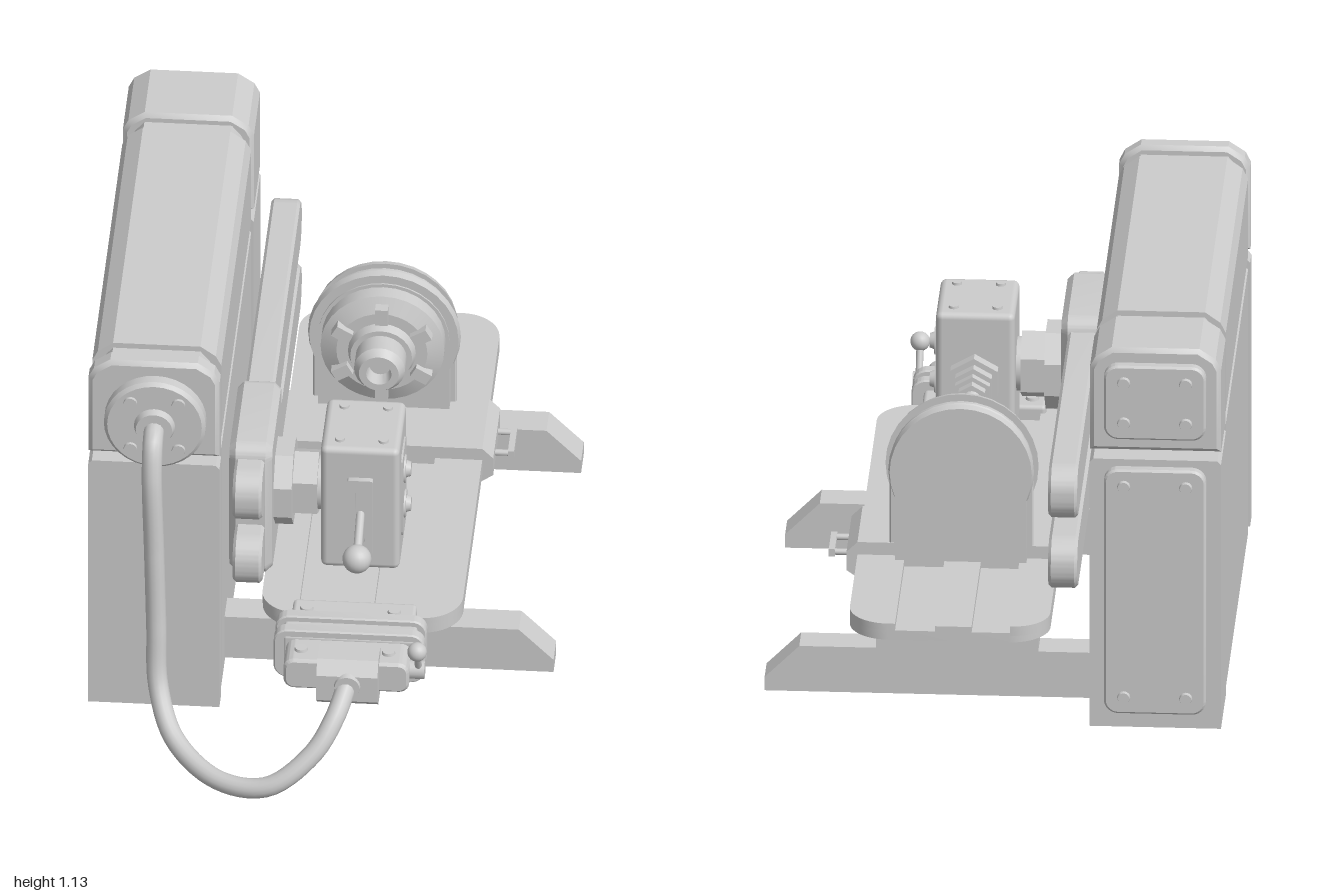
import * as THREE from 'three';
import { toCreasedNormals } from 'three/addons/utils/BufferGeometryUtils.js';
import { RoundedBoxGeometry } from 'three/addons/geometries/RoundedBoxGeometry.js';

const mat = new THREE.MeshStandardMaterial({ color: 0xcccccc });

export function createModel() {
  const model = new THREE.Group();
  let part = model;
  const begin = (name) => {
    part = new THREE.Group();
    part.name = name;
    model.add(part);
  };
  const add = (name, geo) => {
    const m = new THREE.Mesh(geo, mat);
    m.name = name;
    part.add(m);
    return m;
  };

  // Box from min/max limits, optionally rounded
  const box = (name, x0, x1, y0, y1, z0, z1, r = 0) => {
    const s = [x1 - x0, y1 - y0, z1 - z0];
    const g = r ? new RoundedBoxGeometry(...s, 2, r) : new THREE.BoxGeometry(...s);
    return add(name, g.translate((x0 + x1) / 2, (y0 + y1) / 2, (z0 + z1) / 2));
  };
  // Cylinder between a and b along an axis; c holds the other coordinates
  const cyl = (name, axis, a, b, ra, rb, c, seg = 24, spin = 0) => {
    let g = new THREE.CylinderGeometry(rb, ra, b - a, seg).rotateY(spin);
    if (seg < 12) g = toCreasedNormals(g, 0.3);
    if (axis === 'x') g.rotateZ(-Math.PI / 2);
    if (axis === 'z') g.rotateX(Math.PI / 2);
    const p = new THREE.Vector3(...c);
    p[axis] = (a + b) / 2;
    return add(name, g.translate(p.x, p.y, p.z));
  };
  const rod = (name, from, to, r) => {
    const path = new THREE.LineCurve3(new THREE.Vector3(...from), new THREE.Vector3(...to));
    return add(name, new THREE.TubeGeometry(path, 1, r, 10));
  };
  const ball = (name, r, x, y, z) => add(name, new THREE.SphereGeometry(r, 20, 14).translate(x, y, z));

  // Rounded rectangle with its own radius per corner: bl, br, tr, tl
  const roundRect = (x0, x1, y0, y1, bl, br = bl, tr = bl, tl = bl) => {
    const s = new THREE.Shape();
    s.moveTo(x0 + bl, y0).lineTo(x1 - br, y0);
    if (br) s.absarc(x1 - br, y0 + br, br, -Math.PI / 2, 0);
    s.lineTo(x1, y1 - tr);
    if (tr) s.absarc(x1 - tr, y1 - tr, tr, 0, Math.PI / 2);
    s.lineTo(x0 + tl, y1);
    if (tl) s.absarc(x0 + tl, y1 - tl, tl, Math.PI / 2, Math.PI);
    s.lineTo(x0, y0 + bl);
    if (bl) s.absarc(x0 + bl, y0 + bl, bl, Math.PI, Math.PI * 1.5);
    return s;
  };
  const poly = (pts) => new THREE.Shape(pts.map(([x, y]) => new THREE.Vector2(x, y)));
  // Extrude a shape along z, y or x. Shape coordinates are (x,y), (x,z) or (z,y).
  const slab = (name, shape, axis, a, b, bevel = 0) => {
    let g = new THREE.ExtrudeGeometry(shape, {
      depth: b - a - 2 * bevel, curveSegments: 8, bevelEnabled: bevel > 0,
      bevelSize: bevel, bevelThickness: bevel, bevelOffset: -bevel, bevelSegments: 1,
    });
    g = toCreasedNormals(g, 0.45);
    if (axis === 'z') g.translate(0, 0, a + bevel);
    if (axis === 'y') g.rotateX(Math.PI / 2).translate(0, b - bevel, 0);
    if (axis === 'x') g.rotateY(-Math.PI / 2).translate(b - bevel, 0, 0);
    return add(name, g);
  };

  // Tall cabinet: lower column and chamfered upper housing, split into sections
  const housing = (i, top) => poly([
    [-0.63 + i, 0.825 + i], [-0.27 - i, 0.825 + i], [-0.27 - i, top - 0.06],
    [-0.285 - i, top - 0.03], [-0.33, top], [-0.57, top], [-0.615 + i, top - 0.03], [-0.63 + i, top - 0.06]]);
  const column = (i) => poly([
    [-0.62 + i, -0.715], [-0.28 - i, -0.715], [-0.27 - i, -0.705], [-0.27 - i, -0.0],
    [-0.63 + i, -0.0], [-0.63 + i, -0.705]].map(([x, y]) => [x, -y * 0.8 / 0.715]));
  const sections = [[0.44, 0.5, 0, 0.012], [-0.65, 0.395, 0.003, 0], [-0.93, -0.7, 0, 0.012]];
  begin('cabinet');
  for (const [a, b, i, bevel] of sections) {
    slab('upperHousing', housing(i, 1.13 - i * 3), 'z', a, b, bevel);
    slab('lowerColumn', column(i).reverse ? column(i) : column(i), 'z', a, b);
  }
  slab('upperCore', housing(0.02, 1.105), 'z', -0.9, 0.47);
  box('lowerCore', -0.61, -0.29, 0, 0.78, -0.9, 0.47);

  // Bolted covers on the back of the cabinet
  for (const [y0, y1] of [[0.87, 1.09], [0.05, 0.78]]) {
    slab('backCover', roundRect(-0.59, -0.31, y0, y1, 0.04), 'z', -0.958, -0.925, 0.006);
    for (const x of [-0.535, -0.365]) for (const y of [y0 + 0.05, y1 - 0.05])
      cyl('coverBolt', 'z', -0.968, -0.95, 0.016, 0.02, [x, y, 0], 12);
  }

  // Cable flange and hanging cable
  begin('cable');
  const fx = -0.445, fy = 0.95;
  cyl('flange', 'z', 0.49, 0.53, 0.14, 0.14, [fx, fy, 0], 32);
  cyl('flangeRim', 'z', 0.53, 0.54, 0.14, 0.13, [fx, fy, 0], 32);
  cyl('flangeHub', 'z', 0.53, 0.56, 0.06, 0.05, [fx, fy, 0]);
  for (const sx of [-1, 1]) for (const sy of [-1, 1])
    cyl('flangeBolt', 'z', 0.53, 0.548, 0.02, 0.018, [fx + sx * 0.066, fy + sy * 0.075, 0], 12);
  const path = new THREE.CatmullRomCurve3([
    [fx, 0.95, 0.53], [fx, 0.935, 0.595], [fx, 0.85, 0.632], [-0.437, 0.6, 0.65], [-0.43, 0.37, 0.665],
    [-0.422, 0.2, 0.7], [-0.37, 0.095, 0.8], [-0.24, 0.05, 0.925], [-0.1, 0.068, 0.972],
    [0.02, 0.155, 0.93], [0.075, 0.235, 0.87], [0.105, 0.3, 0.79]].map((p) => new THREE.Vector3(...p)));
  add('cableTube', new THREE.TubeGeometry(path, 70, 0.028, 14));

  // Twin guide rails beside the cabinet
  begin('rails');
  for (const [y0, y1] of [[0.595, 0.75], [0.385, 0.535]])
    slab('rail', roundRect(-0.925, 0.5, y0, y1, 0.07), 'x', -0.235, -0.155, 0.008);

  // Feet: a pillar under the bed with a long toe
  begin('feet');
  const foot = poly([[-0.28, 0.015], [0.63, 0.015], [0.63, 0.055], [0.535, 0.15],
    [0.325, 0.15], [0.325, 0.28], [-0.12, 0.28], [-0.12, 0.15], [-0.28, 0.15]]);
  for (const z of [0.235, -0.73]) slab('foot', foot, 'z', z - 0.046, z + 0.046);

  // Bed with raised strips between two wide slots
  begin('bed');
  slab('bedPlate', roundRect(-0.16, 0.39, -0.99, 0.49, 0.11), 'y', 0.27, 0.298);
  slab('outerStrip', roundRect(-0.16, -0.055, -0.99, 0.49, 0.1, 0, 0, 0.1), 'y', 0.29, 0.318);
  slab('outerStrip', roundRect(0.26, 0.39, -0.99, 0.49, 0, 0.11, 0.11, 0), 'y', 0.29, 0.318);
  box('middleStrip', 0.05, 0.15, 0.29, 0.318, -1, 0.49);

  // Saddle, face plate and chuck of the headstock
  begin('headstock');
  const cx = 0.105, cy = 0.58;
  slab('saddle', poly([[-0.16, 0.235], [0.37, 0.235], [0.42, 0.27], [0.42, 0.325], [0.39, 0.355],
    [-0.18, 0.355], [-0.21, 0.325], [-0.21, 0.27]]), 'z', -0.528, -0.285);
  rod('latchArm', [0.41, 0.295, -0.36], [0.465, 0.295, -0.36], 0.009);
  rod('latchArm', [0.41, 0.295, -0.46], [0.465, 0.295, -0.46], 0.009);
  box('latchBar', 0.455, 0.472, 0.284, 0.306, -0.47, -0.35);
  const arch = (r) => {
    const s = new THREE.Shape();
    s.moveTo(cx - r, 0.3).lineTo(cx + r, 0.3).lineTo(cx + r, cy);
    s.absarc(cx, cy, r, 0, Math.PI);
    return s;
  };
  slab('archPlate', arch(0.18), 'z', -0.56, -0.47);
  slab('archRim', arch(0.197), 'z', -0.527, -0.507, 0.004);
  cyl('plateDisc', 'z', -0.56, -0.54, 0.195, 0.2, [cx, cy, 0], 32);
  cyl('plateDisc', 'z', -0.495, -0.475, 0.21, 0.205, [cx, cy, 0], 32);
  cyl('chuckBody', 'z', -0.48, -0.425, 0.17, 0.17, [cx, cy, 0], 32);
  cyl('chuckFace', 'z', -0.425, -0.405, 0.17, 0.125, [cx, cy, 0], 32);
  cyl('chuckStep', 'z', -0.41, -0.38, 0.095, 0.085, [cx, cy, 0]);
  for (let i = 0; i < 6; i++) {
    const a = (i + 0.5) * Math.PI / 3;
    const jaw = add('chuckJaw', new THREE.BoxGeometry(0.05, 0.035, 0.04));
    jaw.position.set(cx + 0.125 * Math.cos(a), cy + 0.125 * Math.sin(a), -0.405);
    jaw.rotation.z = a;
  }
  const nose = [[0, -0.39], [0.07, -0.39], [0.07, -0.32], [0.055, -0.297], [0.035, -0.297], [0.03, -0.34], [0, -0.34]];
  add('chuckNose', toCreasedNormals(new THREE.LatheGeometry(
    nose.map(([r, z]) => new THREE.Vector2(r, z)), 24).rotateX(Math.PI / 2).translate(cx, cy, 0), 0.4));

  // Carriage riding the rails, with stepped nuts to the tool head
  begin('carriage');
  slab('carriagePlate', roundRect(0.03, 0.39, 0.36, 0.785, 0.045), 'x', -0.253, -0.135, 0.018);
  cyl('armNut', 'x', -0.14, -0.085, 0.122, 0.122, [0, 0.57, 0.22], 8, Math.PI / 8);
  cyl('armNut', 'x', -0.085, -0.018, 0.098, 0.098, [0, 0.57, 0.22], 6, Math.PI / 6);
  cyl('armNeck', 'x', -0.03, 0.01, 0.075, 0.075, [0, 0.57, 0.22]);

  // Tool head with lever, buttons and pointed spindle
  begin('toolHead');
  box('headBox', -0.005, 0.212, 0.372, 0.768, 0.095, 0.345, 0.018);
  for (const x of [0.045, 0.165]) for (const z of [0.14, 0.3])
    cyl('topBolt', 'y', 0.76, 0.775, 0.015, 0.013, [x, 0, z], 12);
  const slotFrame = roundRect(0.07, 0.14, 0.43, 0.675, 0.006);
  slotFrame.holes.push(roundRect(0.092, 0.118, 0.47, 0.645, 0.01));
  slab('leverPlate', slotFrame, 'z', 0.34, 0.362);
  rod('lever', [cx, 0.56, 0.33], [cx, 0.495, 0.46], 0.012);
  ball('leverKnob', 0.04, cx, 0.49, 0.468);
  slab('buttonPanel', roundRect(0.165, 0.285, 0.44, 0.705, 0.02), 'x', 0.205, 0.217);
  for (const y of [0.63, 0.515]) {
    cyl('buttonRing', 'x', 0.21, 0.222, 0.042, 0.038, [0, y, 0.225]);
    cyl('button', 'x', 0.215, 0.235, 0.027, 0.02, [0, y, 0.225], 16);
  }
  const sc = [cx, 0.575, 0];
  cyl('spindleNut', 'z', 0.06, 0.1, 0.075, 0.075, sc, 6);
  cyl('spindleNut', 'z', 0.03, 0.062, 0.058, 0.058, sc, 6);
  cyl('spindleNeck', 'z', -0.005, 0.035, 0.032, 0.032, sc);
  cyl('spindleCollar', 'z', -0.018, 0.005, 0.055, 0.055, sc, 6);
  cyl('spindleCollar', 'z', -0.045, -0.018, 0.042, 0.042, sc, 6);
  cyl('spindleShank', 'z', -0.065, -0.04, 0.015, 0.028, sc, 16);
  cyl('spindleTip', 'z', -0.145, -0.06, 0.022, 0.001, sc, 16).geometry
    .translate(0, 0, 0.1025).rotateY(Math.PI).translate(2 * cx, 0, -0.1025);

  // Cable coupling on the end of the bed
  begin('coupling');
  box('couplingBlock', -0.07, 0.27, 0.24, 0.34, 0.45, 0.55, 0.012);
  for (const z of [0.562, 0.63])
    slab('couplingFlange', roundRect(-0.11, 0.305, 0.21, 0.367, 0.04), 'z', z - 0.018, z + 0.018, 0.004);
  box('couplingCore', -0.085, 0.28, 0.23, 0.35, 0.55, 0.65, 0.01);
  slab('couplingFront', roundRect(-0.075, 0.27, 0.245, 0.34, 0.03), 'z', 0.64, 0.752, 0.008);
  for (const x of [-0.03, 0.21]) for (const z of [0.5, 0.698])
    cyl('couplingBolt', 'y', 0.335, 0.348, 0.02, 0.017, [x, 0, z], 12);
  slab('cableBlock', poly([[0.7, 0.222], [0.775, 0.222], [0.808, 0.25], [0.808, 0.33],
    [0.775, 0.365], [0.7, 0.365]]), 'x', 0.02, 0.188);
  cyl('cableSeal', 'z', 0.8, 0.818, 0.038, 0.034, [0.105, 0.3, 0]);
  cyl('lockPivot', 'x', 0.26, 0.31, 0.026, 0.026, [0, 0.295, 0.705], 16);
  rod('lockLever', [0.293, 0.295, 0.705], [0.293, 0.385, 0.755], 0.01);
  ball('lockKnob', 0.027, 0.293, 0.39, 0.758);

  return model;
}
